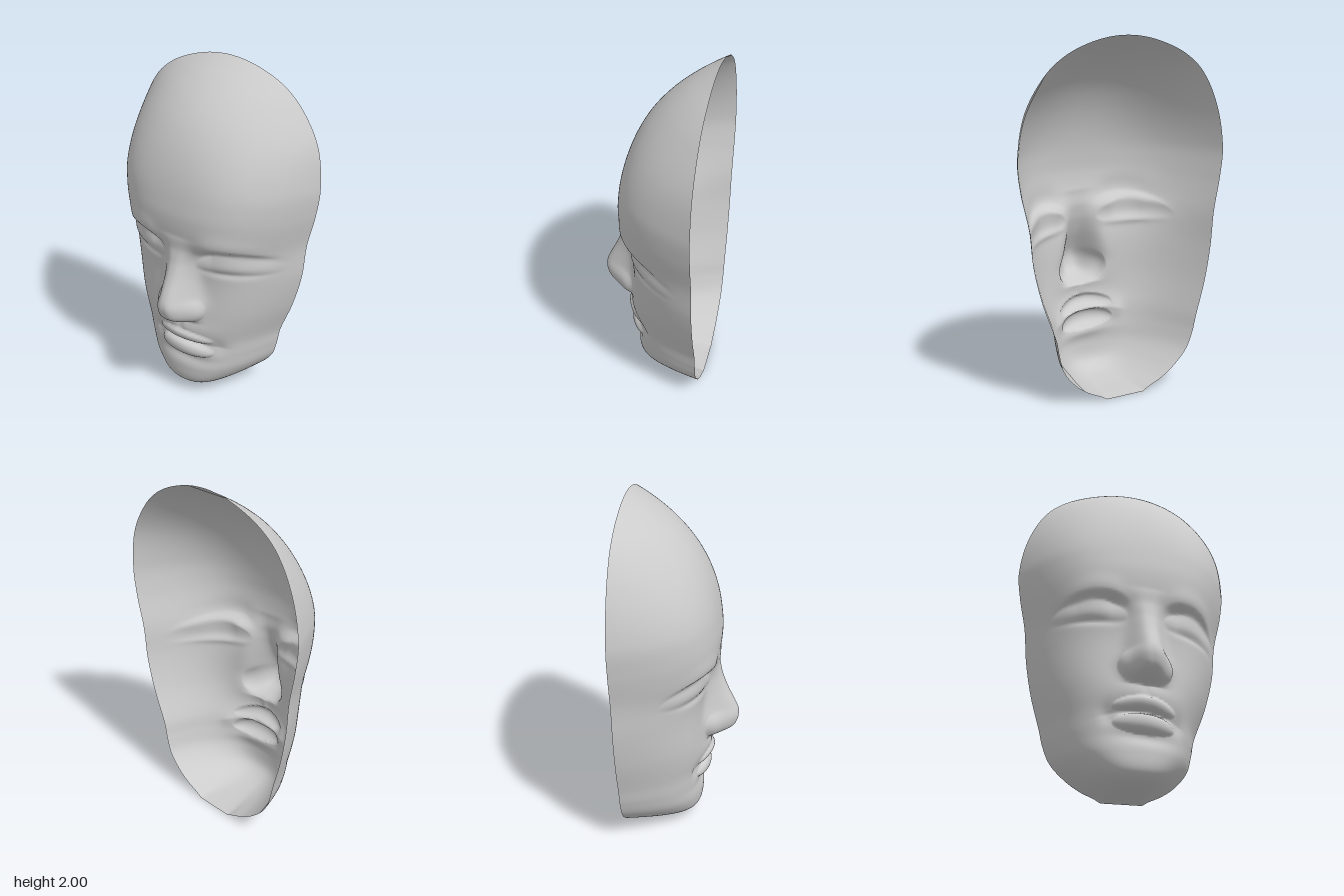
import * as THREE from 'three';

const { smoothstep, clamp, lerp } = THREE.MathUtils;

// Rows are spaced by angle so the crown and the chin underside stay smooth.
const angle = (y) => Math.acos(clamp(1 - y, -1, 1));

// Smooth curve through [y, value] points, listed from the chin up.
function profile(points) {
  const p = points.map(([y, v]) => [angle(y), v]);
  const slope = (i) => {
    const a = p[Math.max(i - 1, 0)], b = p[Math.min(i + 1, p.length - 1)];
    return (b[1] - a[1]) / (b[0] - a[0]);
  };
  return (y) => {
    const t = clamp(angle(y), p[0][0], p[p.length - 1][0]);
    let i = 0;
    while (i < p.length - 2 && t > p[i + 1][0]) i++;
    const h = p[i + 1][0] - p[i][0], k = (t - p[i][0]) / h, k2 = k * k, k3 = k2 * k;
    return p[i][1] * (2 * k3 - 3 * k2 + 1) + slope(i) * h * (k3 - 2 * k2 + k)
      + p[i + 1][1] * (3 * k2 - 2 * k3) + slope(i + 1) * h * (k3 - k2);
  };
}

// Cut edge of the mask, on each side
const edgeRight = profile([[0, 0.11], [0.02, 0.155], [0.06, 0.245], [0.11, 0.32], [0.2, 0.41], [0.3, 0.455], [0.4, 0.48],
  [0.6, 0.535], [0.8, 0.57], [1, 0.588], [1.2, 0.625], [1.37, 0.64], [1.6, 0.595], [1.8, 0.49], [1.9, 0.37], [1.97, 0.2], [2, 0]]);
const edgeLeft = profile([[0, 0.11], [0.02, 0.15], [0.06, 0.235], [0.11, 0.305], [0.2, 0.38], [0.3, 0.41], [0.4, 0.43],
  [0.6, 0.505], [0.8, 0.555], [1, 0.575], [1.2, 0.62], [1.37, 0.638], [1.6, 0.605], [1.8, 0.485], [1.9, 0.365], [1.97, 0.2], [2, 0]]);

// Depth of the centre line without nose and lips
const BACK = -0.31;
const centre = profile([[0, BACK], [0.004, -0.24], [0.012, -0.12], [0.03, 0], [0.06, 0.065], [0.1, 0.097], [0.18, 0.108],
  [0.27, 0.105], [0.4, 0.11], [0.5, 0.122], [0.6, 0.128], [0.8, 0.125], [0.92, 0.14], [1, 0.165], [1.08, 0.192],
  [1.2, 0.205], [1.3, 0.197], [1.4, 0.18], [1.5, 0.152], [1.6, 0.111], [1.7, 0.053], [1.8, -0.03], [1.9, -0.148],
  [1.95, -0.225], [1.98, -0.276], [1.995, -0.302], [2, BACK]]);

// Height and half-width of the nose ridge
const noseHeight = profile([[0.545, 0], [0.565, 0.07], [0.6, 0.142], [0.65, 0.175], [0.7, 0.182], [0.76, 0.16],
  [0.85, 0.112], [0.95, 0.058], [1.02, 0.022], [1.1, 0]]);
const noseWidth = profile([[0.55, 0.09], [0.66, 0.108], [0.76, 0.095], [0.9, 0.082], [1, 0.08], [1.1, 0.1]]);

const gauss = (a, b) => Math.exp(-a * a - b * b);
const dome = (a, b, power = 0.6) => Math.pow(Math.max(0, 1 - a * a - b * b), power);

function nose(s, y) {
  const ridge = noseHeight(y) * Math.exp(-Math.pow(s / noseWidth(y), 2.6));
  const wing = 0.088 * dome((s - 0.075) / 0.08, (y - 0.645) / 0.085, 0.5);
  return Math.cbrt(ridge ** 3 + wing ** 3);
}

function eye(s, y) {
  const across = smoothstep(s, 0.07, 0.2) * (1 - smoothstep(s, 0.36, 0.52));
  const browLine = 1.04 - 1.3 * (s - 0.27) ** 2;
  const socket = -0.042 * smoothstep(browLine - y, -0.03, 0.03) * smoothstep(y, 0.86, 1);
  const brow = 0.012 * gauss((s - 0.27) / 0.2, (y - browLine - 0.045) / 0.06);
  const lid = 0.034 * dome((s - 0.3) / 0.2, (y - 0.965 + 0.9 * (s - 0.29) ** 2) / 0.07, 1);
  const crease = -0.008 * gauss((s - 0.3) / 0.12, (y - 0.9) / 0.025);
  return across * (socket + brow + crease) + lid;
}

function mouth(s, y) {
  const bend = 0.6 * s * s;
  const muzzle = 0.034 * gauss(s / 0.17, (y - 0.49) / 0.085);
  const upper = 0.03 * dome(s / 0.18, (y - 0.437 + bend) / 0.04);
  const lower = 0.044 * dome(s / 0.175, (y - 0.338 + bend * 0.4) / 0.056);
  const groove = -0.022 * gauss(s / 0.14, (y - 0.397 + bend) / 0.012);
  const philtrum = -0.006 * gauss(s / 0.022, (y - 0.51) / 0.04);
  const corner = -0.014 * gauss((s - 0.2) / 0.04, (y - 0.37) / 0.05);
  const chinDip = -0.014 * gauss(s / 0.15, (y - 0.262) / 0.035);
  return muzzle + Math.max(upper, lower) + groove + philtrum + corner + chinDip;
}

export function createModel() {
  const group = new THREE.Group();
  group.name = 'faceMask';

  // One open shell: rows follow the outline, columns follow the depth curve
  const geometry = new THREE.PlaneGeometry(2, 2, 190, 290);
  const pos = geometry.attributes.position;
  for (let i = 0; i < pos.count; i++) {
    const u = pos.getX(i);
    const y = 1 - Math.cos((pos.getY(i) + 1) * Math.PI / 2);
    const x = u * Math.max(0, u < 0 ? edgeRight(y) : edgeLeft(y));
    // Rounder sections at the crown, flatter across the face
    const round = lerp(0.32, 1, smoothstep(y, 1.3, 2));
    let z = BACK + (centre(y) - BACK) * (1 - round * u * u - (1 - round) * u ** 4);
    // Features sit slightly off centre, with a small tilt
    const s = Math.abs(x - 0.03);
    const level = y + 0.06 * (x - 0.03);
    const fade = 1 - smoothstep(Math.abs(u), 0.8, 0.98);
    z += fade * (nose(s, level) + eye(s, level) + mouth(s, level));
    pos.setXYZ(i, x, y, z);
  }
  geometry.computeVertexNormals();

  const shell = new THREE.Mesh(geometry, new THREE.MeshStandardMaterial({ color: 0xcccccc, side: THREE.DoubleSide }));
  shell.name = 'faceShell';
  group.add(shell);
  return group;
}
